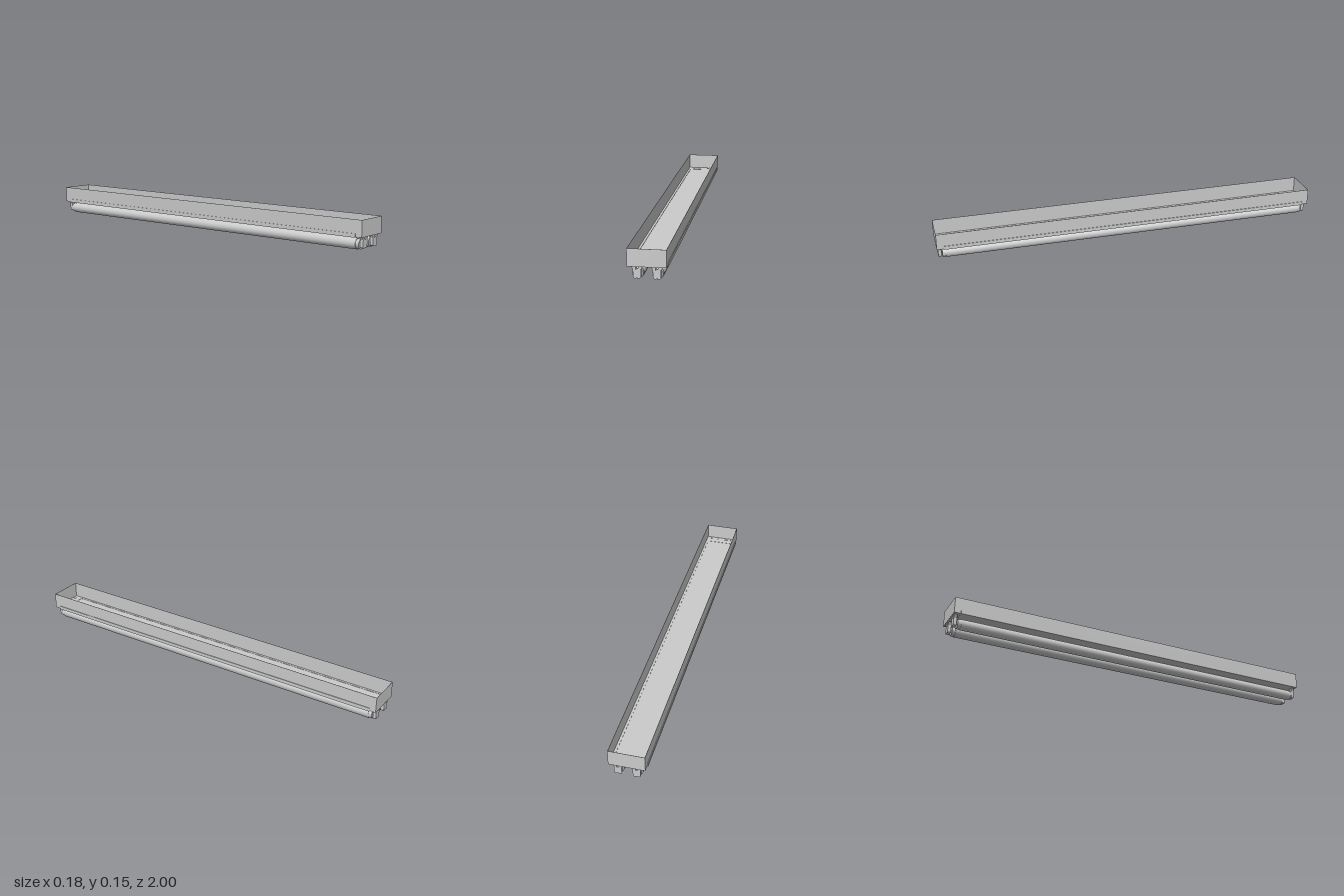
import * as THREE from 'three';

const grey = new THREE.MeshStandardMaterial({ color: 0xcccccc, side: THREE.DoubleSide });
const W = 0.088, TOP = 0.15, FLOOR = 0.068, T = 0.0015, TUBE_X = 0.044, TUBE_Y = 0.03;

function add(parent, name, geometry) {
  const mesh = new THREE.Mesh(geometry, grey);
  mesh.name = name;
  parent.add(mesh);
  return mesh;
}

// Box given by its two opposite corners
function box(parent, name, [x0, y0, z0], [x1, y1, z1]) {
  const mesh = add(parent, name, new THREE.BoxGeometry(x1 - x0, y1 - y0, z1 - z0));
  mesh.position.set((x0 + x1) / 2, (y0 + y1) / 2, (z0 + z1) / 2);
  return mesh;
}

function rectangle(Kind, x0, y0, x1, y1) {
  const p = new Kind();
  p.moveTo(x0, y0);
  p.lineTo(x1, y0);
  p.lineTo(x1, y1);
  p.lineTo(x0, y1);
  p.closePath();
  return p;
}

// Bracket with two legs around a slot and a rounded, notched foot
function holderGeometry(depth) {
  const s = new THREE.Shape();
  s.moveTo(-0.026, 0.069);
  s.lineTo(-0.006, 0.069);
  s.lineTo(-0.005, 0.053);
  s.lineTo(0.005, 0.053);
  s.lineTo(0.006, 0.069);
  s.lineTo(0.026, 0.069);
  s.lineTo(0.018, 0.053);
  s.lineTo(0.018, 0.02);
  s.quadraticCurveTo(0.017, 0.013, 0.009, 0.013);
  s.lineTo(0.005, 0.013);
  s.lineTo(0, 0.016);
  s.lineTo(-0.005, 0.013);
  s.lineTo(-0.009, 0.013);
  s.quadraticCurveTo(-0.017, 0.013, -0.018, 0.02);
  s.lineTo(-0.018, 0.053);
  s.closePath();
  return new THREE.ExtrudeGeometry(s, { depth, bevelEnabled: false, curveSegments: 4 });
}

// Lamp holder at the +z end, with clips reaching through the housing floor
function lampHolder(x) {
  const g = new THREE.Group();
  g.name = 'lampHolder';
  add(g, 'holderBody', holderGeometry(0.016)).position.z = 0.977;
  box(g, 'holderBridge', [-0.004, 0.05, 0.98], [0.004, 0.057, 0.99]);
  for (const s of [-1, 1]) {
    box(g, 'clip', [s * 0.015 - 0.006, 0.066, 0.981], [s * 0.015 + 0.006, 0.071, 0.989]);
    const pin = add(g, 'contactPin', new THREE.CylinderGeometry(0.0025, 0.0025, 0.02, 8));
    pin.rotation.x = Math.PI / 2;
    pin.position.set(s * 0.008, TUBE_Y, 0.975);
  }
  g.position.x = x;
  return g;
}

// Tube with slightly narrower end caps
function lampTube(x) {
  const g = new THREE.Group();
  g.name = 'lampTube';
  const glass = add(g, 'tubeGlass', new THREE.CylinderGeometry(0.027, 0.027, 1.91, 18));
  glass.rotation.x = Math.PI / 2;
  for (const s of [-1, 1]) {
    const cap = add(g, 'tubeCap', new THREE.CylinderGeometry(0.0245, 0.0245, 0.02, 18));
    cap.rotation.x = Math.PI / 2;
    cap.position.z = s * 0.962;
  }
  g.position.set(x, TUBE_Y, 0);
  return g;
}

export function createModel() {
  const model = new THREE.Group();
  model.name = 'twinTubeLight';

  // Open-topped housing: walls and inward side flanges
  const housing = new THREE.Group();
  housing.name = 'housing';
  model.add(housing);
  for (const s of [-1, 1]) {
    const side = s * (W - T / 2), end = s * (1 - T / 2), flange = s * 0.081;
    box(housing, 'sideWall', [side - T / 2, FLOOR, -1], [side + T / 2, TOP, 1]);
    box(housing, 'endWall', [-W, FLOOR, end - T / 2], [W, TOP, end + T / 2]);
    box(housing, 'sideFlange', [flange - 0.006, FLOOR, -0.96], [flange + 0.006, FLOOR + T, 0.96]);
  }

  // Both ends: slotted floor and lamp holders, the second turned half round
  for (const s of [1, -1]) {
    const end = new THREE.Group();
    end.name = 'endAssembly';
    const plate = rectangle(THREE.Shape, -W, -0.999, W, -0.95);
    for (const x of [-0.059, -0.029, 0.029, 0.059]) {
      plate.holes.push(rectangle(THREE.Path, x - 0.009, -0.993, x + 0.009, -0.977));
    }
    const floor = add(end, 'endFloor', new THREE.ExtrudeGeometry(plate, { depth: T, bevelEnabled: false }));
    floor.rotation.x = -Math.PI / 2;
    floor.position.y = FLOOR;
    end.add(lampHolder(-TUBE_X), lampHolder(TUBE_X));
    if (s < 0) end.rotation.y = Math.PI;
    model.add(end);
  }

  // Cover plate underneath with upturned side lips
  const cover = new THREE.Group();
  cover.name = 'cover';
  model.add(cover);
  box(cover, 'coverPlate', [-0.092, 0.0655, -0.967], [0.092, 0.067, 0.967]);
  for (const s of [-1, 1]) {
    const lip = s * 0.0905;
    box(cover, 'coverLip', [lip - T, 0.0655, -0.967], [lip + T, 0.084, 0.967]);
  }

  model.add(lampTube(-TUBE_X), lampTube(TUBE_X));
  return model;
}
